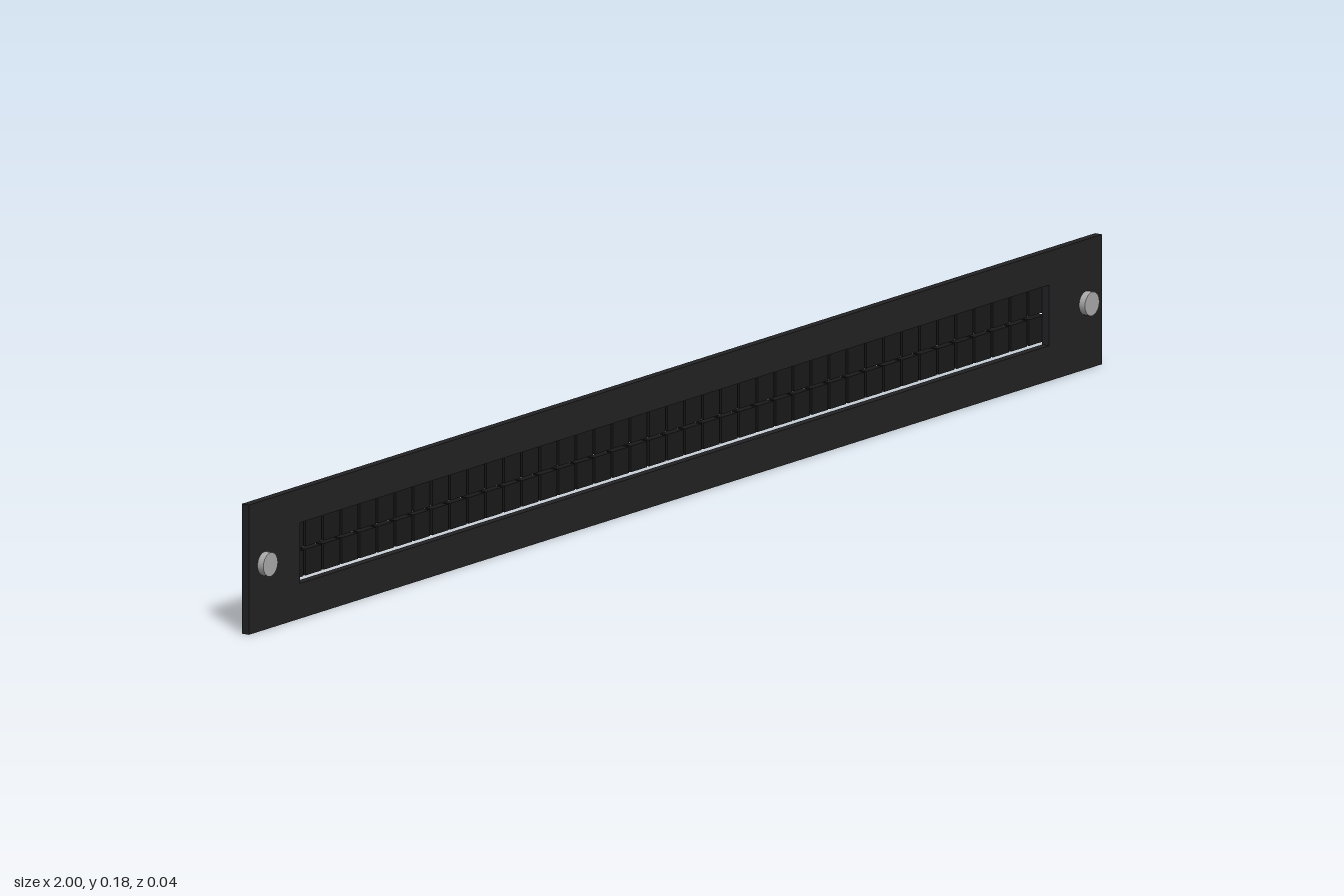
import * as THREE from 'three';

export function createModel() {
  const group = new THREE.Group();
  const plateMat = new THREE.MeshStandardMaterial({ color: 0x222224 });
  const blockMat = new THREE.MeshStandardMaterial({ color: 0x1a1a1a });
  const screwMat = new THREE.MeshStandardMaterial({ color: 0xaaaaaa });
  const midY = 0.093;

  const add = (parent, name, geometry, material, x, y, z) => {
    const mesh = new THREE.Mesh(geometry, material);
    mesh.name = name;
    mesh.position.set(x, y, z);
    parent.add(mesh);
    return mesh;
  };

  // Long face plate with one rectangular window
  const rect = (path, x0, y0, x1, y1) =>
    path.moveTo(x0, y0).lineTo(x1, y0).lineTo(x1, y1).lineTo(x0, y1).closePath();
  const outline = rect(new THREE.Shape(), -1, 0, 1, 0.184);
  outline.holes.push(rect(new THREE.Path(), -0.88, 0.05, 0.876, 0.136));
  const plate = new THREE.ExtrudeGeometry(outline, { depth: 0.012, bevelEnabled: false });
  add(group, 'facePlate', plate, plateMat, 0, 0, -0.004);

  // Two rows of small blocks behind the window, separated by narrow gaps
  const blocks = new THREE.Group();
  blocks.name = 'blockGrid';
  group.add(blocks);
  const count = 42, left = -0.893, pitch = 0.0424, gap = 0.0048;
  const block = new THREE.BoxGeometry(pitch - gap, 0.037, 0.013);
  for (let i = 0; i < count; i++) {
    const x = left + i * pitch + (pitch - gap) / 2;
    for (const side of [-1, 1]) {
      add(blocks, 'block', block, blockMat, x, midY + side * 0.0207, -0.0105);
    }
  }

  // Round screw heads at both ends
  const head = new THREE.CylinderGeometry(0.017, 0.017, 0.011, 20).rotateX(Math.PI / 2);
  for (const side of [-1, 1]) add(group, 'screwHead', head, screwMat, side * 0.963, midY + 0.001, 0.0125);

  return group;
}
